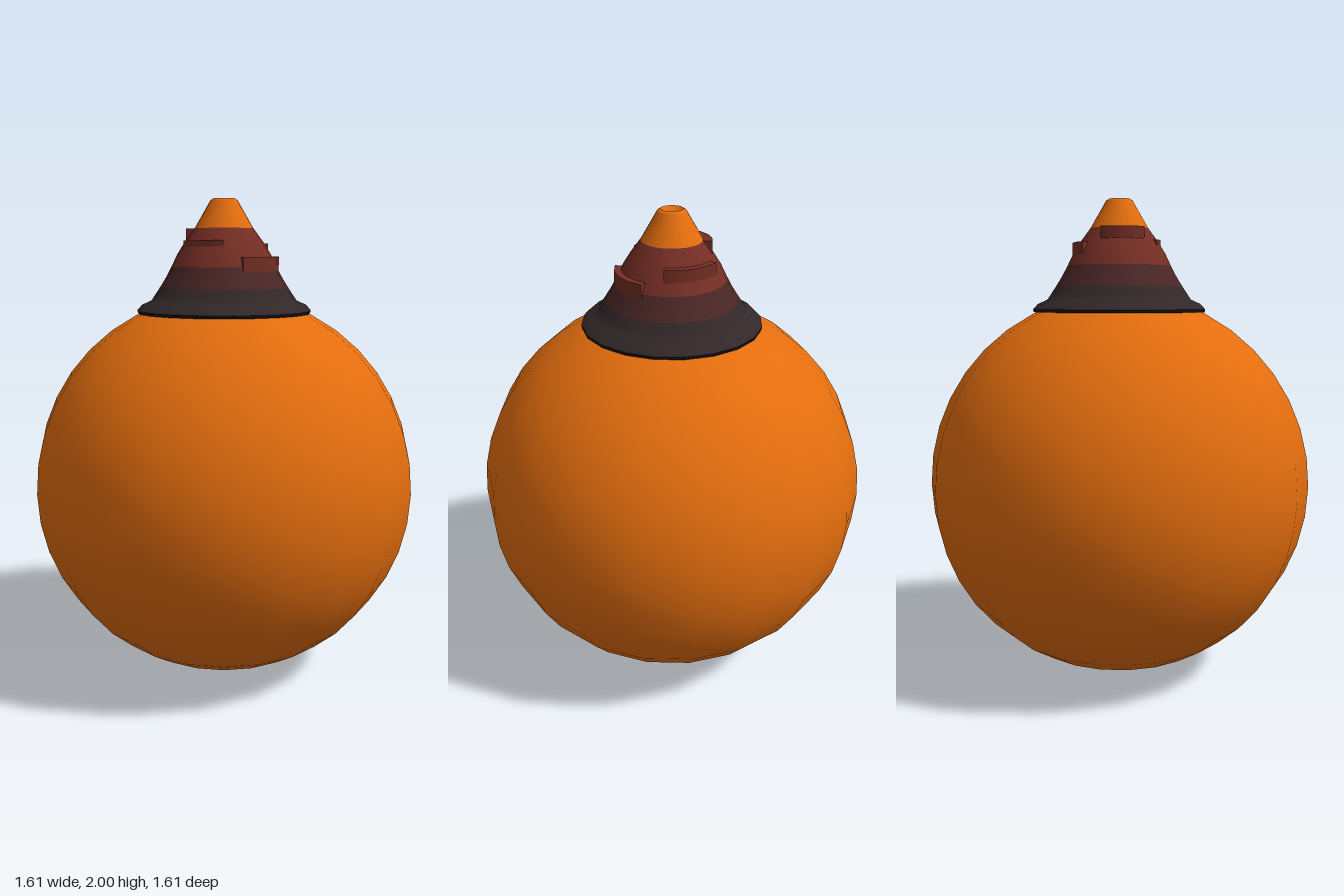
import * as THREE from 'three';

const paint = (name, color) => {
  const m = new THREE.MeshStandardMaterial({ color });
  m.name = name;
  return m;
};

export function createModel() {
  const orange = paint('orange', 0xe36d0e);
  const rust = paint('rust red', 0x742e24);
  const brown = paint('dark brown', 0x4a2626);
  const charcoal = paint('charcoal', 0x322729);
  const black = paint('black', 0x17171d);

  const model = new THREE.Group();
  const add = (name, geometry, material) => {
    const mesh = new THREE.Mesh(geometry, material);
    mesh.name = name;
    model.add(mesh);
    return mesh;
  };
  // Profile points are [radius, height], listed from bottom to top
  const lathe = (points, segments = 20, start = 0, length = Math.PI * 2) =>
    new THREE.LatheGeometry(points.map(([r, y]) => new THREE.Vector2(r, y)), segments, start, length);

  // Round body
  const body = add('body', new THREE.SphereGeometry(0.807, 20, 20), orange);
  body.position.y = 0.807;

  // Stacked bands of the cone
  add('collarRim', lathe([[0.3, 1.533], [0.363, 1.533], [0.365, 1.545]]), black);
  add('collar', lathe([[0.365, 1.545], [0.345, 1.567], [0.305, 1.585], [0.288, 1.61], [0.268, 1.64]]), charcoal);
  add('lowerBand', lathe([[0.268, 1.64], [0.243, 1.68], [0.219, 1.725]]), brown);
  add('upperBand', lathe([[0.219, 1.725], [0.195, 1.775], [0.163, 1.825], [0.122, 1.88]]), rust);

  // Tip with a shallow crater
  add('tip', lathe([[0.122, 1.88], [0.09, 1.935], [0.056, 1.993]]), orange);
  add('tipRim', lathe([[0.056, 1.993], [0.045, 2]]), orange);
  add('crater', lathe([[0.045, 2], [0.025, 1.982], [0, 1.975]]), orange);

  // Broken ledges climbing round the upper band: [angle, radius, bottom, top]
  const ledges = [
    [0, 0.228, 1.705, 1.765],
    [Math.PI / 2, 0.197, 1.76, 1.82],
    [Math.PI, 0.158, 1.825, 1.88],
    [Math.PI * 1.5, 0.175, 1.79, 1.83],
  ];
  ledges.forEach(([angle, r, low, high]) => {
    const half = 0.6;
    const ledge = new THREE.Group();
    ledge.name = 'ledge';
    const outline = [[r - 0.045, low], [r, low], [r, high], [r - 0.07, high]];
    // Outer skin, one flat facet strip per profile edge
    for (let i = 0; i < 3; i++) {
      const skin = new THREE.Mesh(lathe(outline.slice(i, i + 2), 4, angle - half, half * 2), rust);
      skin.name = 'ledgeFace';
      ledge.add(skin);
    }
    // End caps
    [-1, 1].forEach((side) => {
      const shape = new THREE.Shape(outline.map(([x, y]) => new THREE.Vector2(x, y)));
      const geometry = new THREE.ShapeGeometry(shape);
      if (side > 0) geometry.rotateY(0);
      const index = geometry.index;
      if (side < 0) {
        // Reverse the winding so the cap faces away from the ledge
        for (let i = 0; i < index.count; i += 3) {
          const a = index.getX(i);
          index.setX(i, index.getX(i + 1));
          index.setX(i + 1, a);
        }
      }
      // The unmirrored cap faces clockwise, so flip both consistently
      for (let i = 0; i < index.count; i += 3) {
        const a = index.getX(i);
        index.setX(i, index.getX(i + 1));
        index.setX(i + 1, a);
      }
      geometry.computeVertexNormals();
      geometry.rotateY(angle + side * half - Math.PI / 2);
      const cap = new THREE.Mesh(geometry, rust);
      cap.name = 'ledgeEnd';
      ledge.add(cap);
    });
    model.add(ledge);
  });

  return model;
}
